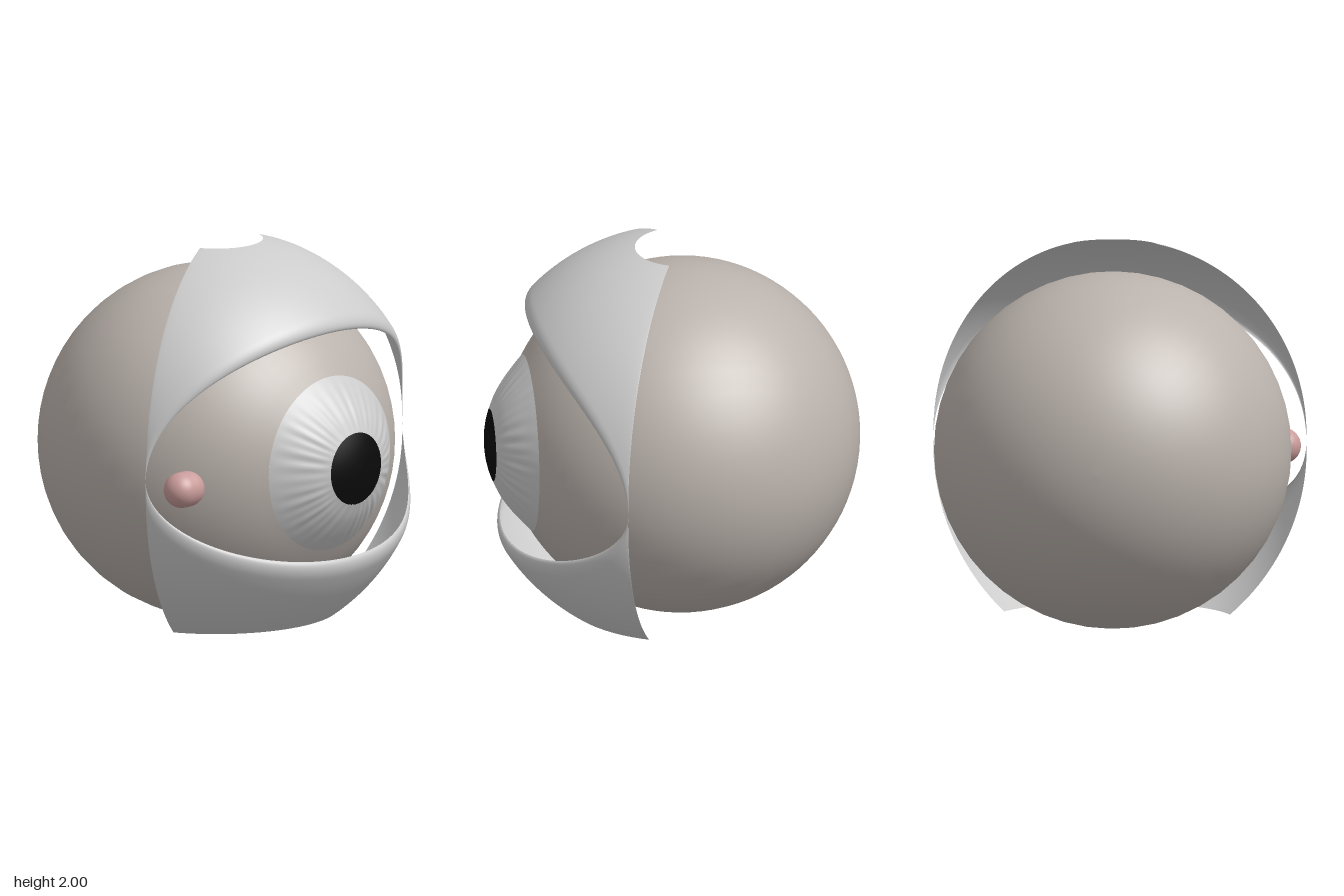
import * as THREE from 'three';
import { mergeVertices } from 'three/addons/utils/BufferGeometryUtils.js';

const CENTER = [0, 0.93, -0.05];
const BALL_R = 0.928;      // eyeball radius
const IRIS_R = 0.46;       // edge of the iris
const RIM_R = 1.055;       // lid radius at the rolled rim
const BULGE = 0.042;       // how far the lid swells beyond its rim
const LID_HALF = THREE.MathUtils.degToRad(67.1); // lid half width as an azimuth

const material = (color, side = THREE.FrontSide) => new THREE.MeshStandardMaterial({ color, side });

function addMesh(group, name, geometry, mat, position = CENTER) {
  const mesh = new THREE.Mesh(geometry, mat);
  mesh.name = name;
  mesh.position.set(...position);
  group.add(mesh);
}

// Lathe around the z axis from [radius, z] points, back to front
function latheZ(points, segments) {
  const geo = new THREE.LatheGeometry(points.map(([r, z]) => new THREE.Vector2(r, z)), segments);
  return geo.rotateX(Math.PI / 2);
}

function eyeballGeometry() {
  const end = Math.PI - Math.asin(IRIS_R / BALL_R);
  const pts = [];
  for (let i = 0; i <= 40; i++) {
    const a = (i / 40) * end;
    pts.push([BALL_R * Math.sin(a), -BALL_R * Math.cos(a)]);
  }
  return latheZ(pts, 48);
}

// Cornea bulge with fine radial folds
function irisGeometry() {
  const curve = new THREE.SplineCurve([
    [IRIS_R, 0.806], [0.42, 0.842], [0.35, 0.9], [0.27, 0.955], [0.19, 0.995],
  ].map(([r, z]) => new THREE.Vector2(r, z)));
  const geo = latheZ(curve.getPoints(16).map((p) => [p.x, p.y]), 192);
  const pos = geo.attributes.position;
  for (let i = 0; i < pos.count; i++) {
    const x = pos.getX(i), y = pos.getY(i), r = Math.hypot(x, y), a = Math.atan2(y, x);
    const fade = Math.sin(Math.PI * THREE.MathUtils.clamp((r - 0.19) / (IRIS_R - 0.19), 0, 1));
    const fold = Math.sin(36 * a + 1.2 * Math.sin(5 * a)) + 0.6 * Math.sin(23 * a + 1);
    pos.setZ(i, pos.getZ(i) + 0.0025 * fade * fold);
  }
  geo.deleteAttribute('uv');
  geo.deleteAttribute('normal');
  const merged = mergeVertices(geo, 1e-5);
  merged.computeVertexNormals();
  return merged;
}

// Lid: spherical patch from an almond-shaped rolled rim to a level cut.
// sign is +1 for the upper lid, -1 for the lower one.
function lidGeometry(sign, rimElevation, cutHeight) {
  const cols = 96, rollRows = 10, rows = 40, rollWidth = 0.08;
  const cutElevation = Math.asin(cutHeight / (RIM_R + BULGE));
  const positions = [], index = [];
  for (let i = 0; i <= cols; i++) {
    const u = Math.sin((i / cols - 0.5) * Math.PI);
    const azimuth = u * LID_HALF;
    const arch = Math.sqrt(Math.max(0, 1 - u * u));
    const rim = rimElevation * arch, span = cutElevation - rim;
    for (let j = 0; j <= rows; j++) {
      const a = Math.min(1, j / rollRows) * Math.PI / 2;
      const s = j <= rollRows
        ? rollWidth * (1 - Math.cos(a))
        : rollWidth + (span - rollWidth) * (j - rollRows) / (rows - rollRows);
      const swell = arch + (1 - arch) * s / span;
      const R = RIM_R + BULGE * swell * Math.sin(a);
      const e = rim + s;
      positions.push(
        R * Math.cos(e) * Math.sin(azimuth),
        sign * R * Math.sin(e),
        R * Math.cos(e) * Math.cos(azimuth),
      );
      if (i < cols && j < rows) {
        const p = i * (rows + 1) + j, q = p + rows + 1;
        if (sign > 0) index.push(p, q, q + 1, p, q + 1, p + 1);
        else index.push(p, q + 1, q, p, p + 1, q + 1);
      }
    }
  }
  const geo = new THREE.BufferGeometry();
  geo.setAttribute('position', new THREE.Float32BufferAttribute(positions, 3));
  geo.setIndex(index);
  geo.computeVertexNormals();
  return geo;
}

export function createModel() {
  const group = new THREE.Group();
  group.name = 'eye';

  // Eyeball, iris and pupil
  addMesh(group, 'eyeball', eyeballGeometry(), material(0xbab2ac));
  addMesh(group, 'iris', irisGeometry(), material(0xcccccc));
  const pupil = [[0.19, 0.995], [0.15, 1.009], [0.1, 1.021], [0.05, 1.028], [0, 1.03]];
  addMesh(group, 'pupil', latheZ(pupil, 64), material(0x0a0a0a));

  // Eyelids
  const lid = material(0xcccccc, THREE.DoubleSide);
  addMesh(group, 'upperLid', lidGeometry(1, 0.712, 1.07), lid);
  addMesh(group, 'lowerLid', lidGeometry(-1, 0.472, 0.892), lid);

  // Pink tissue in the inner corner
  const corner = new THREE.CapsuleGeometry(0.093, 0.04, 12, 32).rotateZ(Math.PI / 2);
  addMesh(group, 'tearDuct', corner, material(0xc99c9a), [-0.818, 0.885, 0.49]);

  return group;
}
